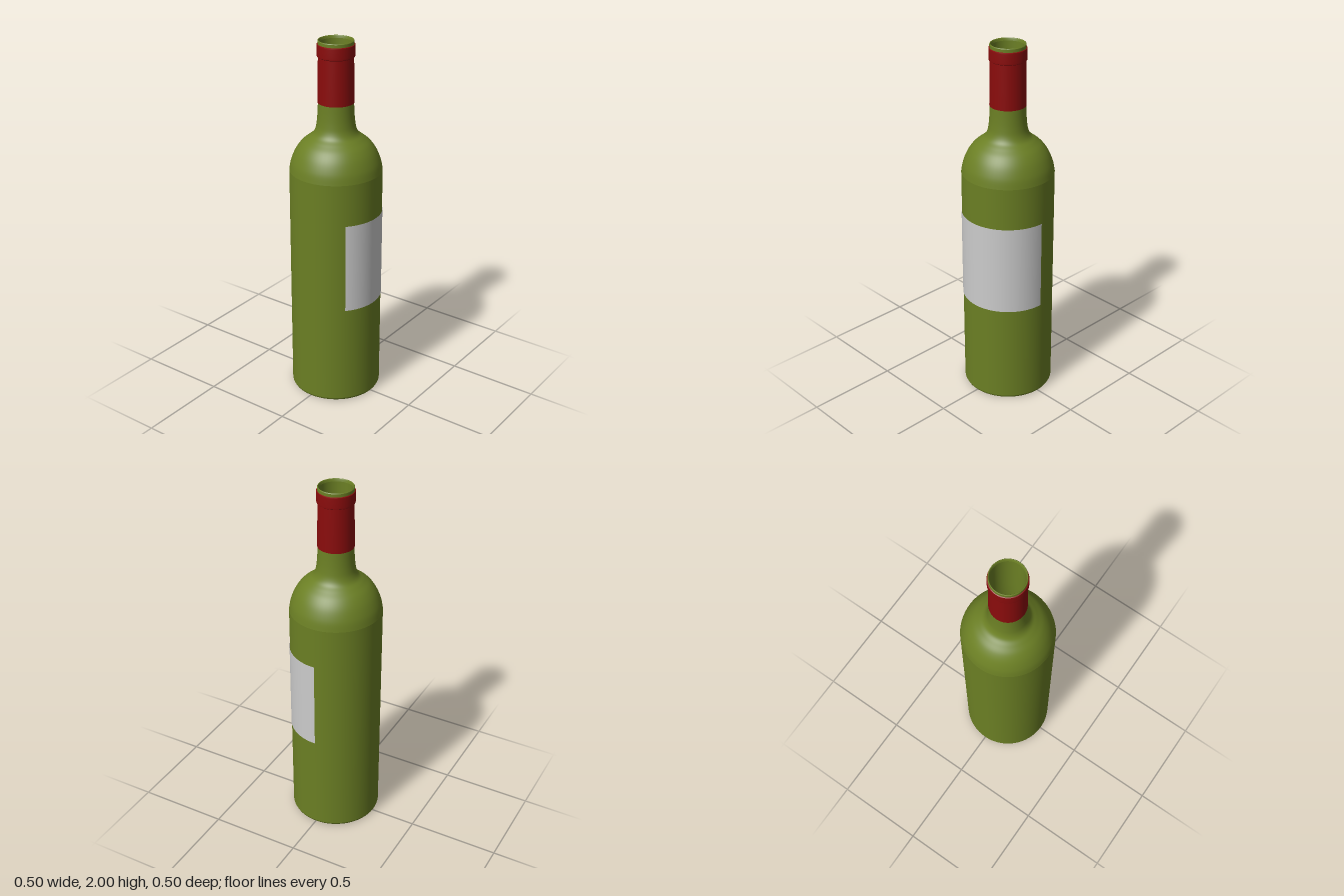
import * as THREE from 'three';

const GREEN = 0x6b7f24, RED = 0x8a0c0c, WHITE = 0xcccccc;
const SEGMENTS = 64;
const points = (list) => list.map(([r, y]) => new THREE.Vector2(r, y));
const curve = (list, n) => new THREE.SplineCurve(points(list)).getPoints(n);

export function createModel() {
  const model = new THREE.Group();

  // Adds a turned part; profiles run anticlockwise so faces point outward
  function turn(name, profile, color, start = 0, sweep = Math.PI * 2) {
    const material = new THREE.MeshStandardMaterial({ color, side: THREE.DoubleSide });
    const mesh = new THREE.Mesh(new THREE.LatheGeometry(profile, SEGMENTS, start, sweep), material);
    mesh.name = name;
    model.add(mesh);
  }

  // Hollow dome under the bottle, running out to the foot
  turn('basePunt', curve([[0, 0.1], [0.06, 0.088], [0.11, 0.058], [0.15, 0.028], [0.19, 0.008], [0.235, 0]], 24), GREEN);
  turn('foot', curve([[0.235, 0], [0.243, 0.003], [0.248, 0.014]], 6), GREEN);
  turn('body', points([[0.248, 0.014], [0.248, 1.3]]), GREEN);

  // Rounded shoulder sweeping into the neck
  turn('shoulder', curve([
    [0.248, 1.3], [0.238, 1.35], [0.215, 1.405], [0.185, 1.447], [0.15, 1.477],
    [0.122, 1.5], [0.107, 1.53], [0.1, 1.57], [0.096, 1.62], [0.094, 1.67],
  ], 48), GREEN);
  turn('neck', points([[0.094, 1.67], [0.089, 1.91], [0.093, 1.97]]), GREEN);

  // Open mouth with a thin lip
  turn('lipOutside', points([[0.094, 1.97], [0.094, 1.996]]), GREEN);
  turn('lipTop', curve([[0.094, 1.996], [0.091, 2], [0.088, 1.996], [0.085, 1.985]], 8), GREEN);

  // Inner wall and floor of the hollow bottle
  turn('inside', curve([
    [0.085, 1.985], [0.084, 1.8], [0.085, 1.66], [0.092, 1.55], [0.112, 1.49],
    [0.17, 1.44], [0.21, 1.38], [0.234, 1.29],
  ], 40), GREEN);
  turn('insideWall', points([[0.234, 1.29], [0.234, 0.035]]), GREEN);
  turn('insideFloor', curve([[0.234, 0.035], [0.19, 0.025], [0.15, 0.045], [0.11, 0.075], [0.06, 0.104], [0, 0.116]], 20), GREEN);

  // Foil sleeve with a raised collar at the top
  turn('foilSleeve', points([[0.094, 1.67], [0.0965, 1.671], [0.0925, 1.912]]), RED);
  turn('foilCollarUnderside', points([[0.0925, 1.912], [0.098, 1.916]]), RED);
  turn('foilCollar', points([[0.098, 1.916], [0.099, 1.925], [0.099, 1.972], [0.098, 1.978]]), RED);
  turn('foilCollarTop', points([[0.098, 1.978], [0.093, 1.98]]), RED);

  // Paper label wrapped around the front left
  turn('label', points([[0.2505, 0.57], [0.2505, 1.07]]), WHITE, -0.74, 2.33);

  return model;
}
